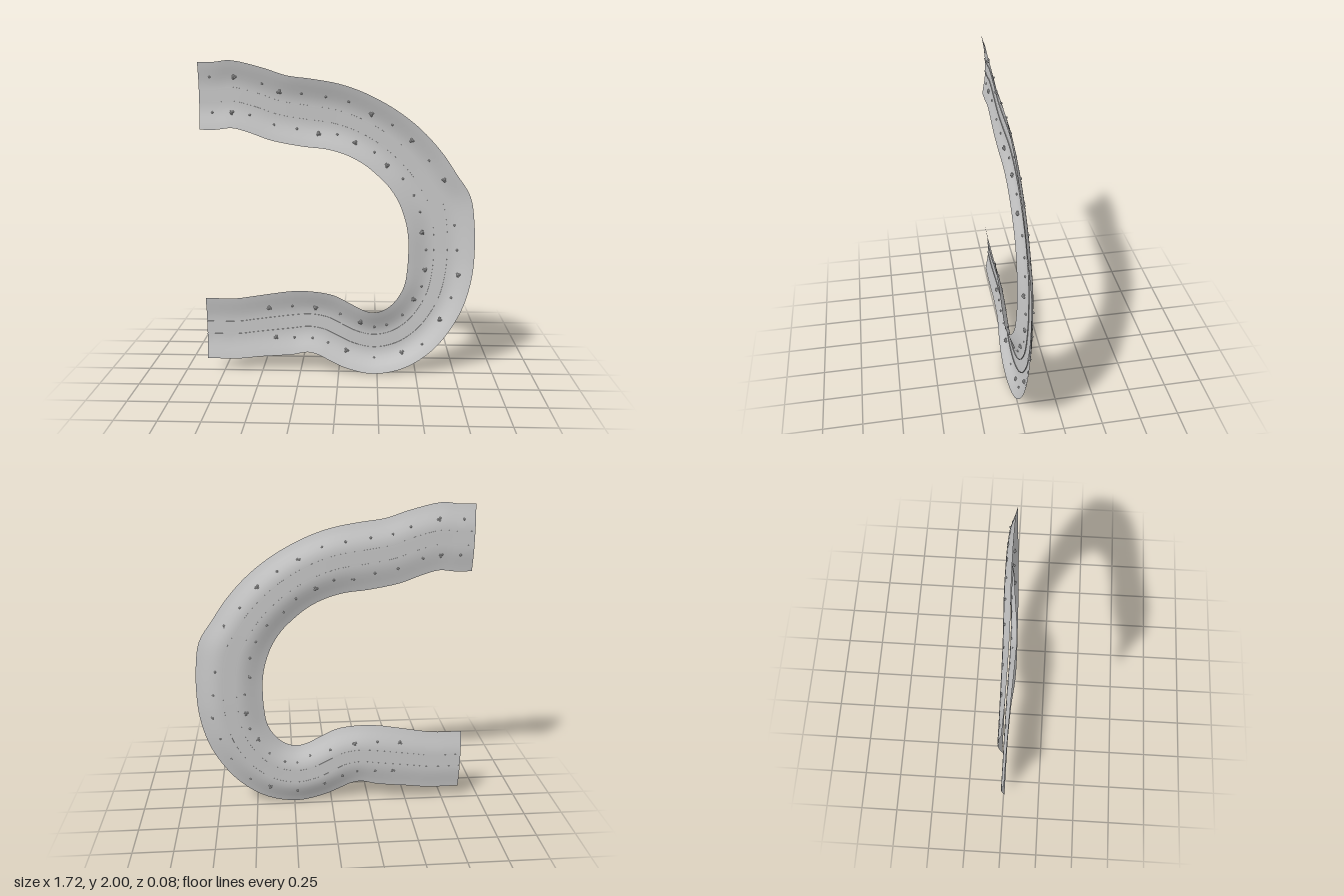
import * as THREE from 'three';
import { mergeGeometries, toCreasedNormals } from 'three/addons/utils/BufferGeometryUtils.js';

// Stations along the valley: edge coordinates, then depth of outer rim, floor and inner rim
const outer = [
  [-0.86, 1.99], [-0.76, 1.99], [-0.66, 2.0], [-0.46, 1.955], [-0.32, 1.91], [-0.17, 1.89],
  [0, 1.86], [0.16, 1.805], [0.34, 1.71], [0.5, 1.59], [0.64, 1.44], [0.73, 1.31],
  [0.82, 1.17], [0.85, 1.0], [0.857, 0.8], [0.845, 0.65], [0.8, 0.47], [0.72, 0.31],
  [0.6, 0.16], [0.43, 0.045], [0.23, 0.003], [0.05, 0.04], [-0.06, 0.09], [-0.13, 0.125],
  [-0.2, 0.14], [-0.3, 0.12], [-0.4, 0.11], [-0.52, 0.1], [-0.65, 0.085], [-0.86, 0.085],
];
const inner = [
  [-0.86, 1.58], [-0.76, 1.58], [-0.66, 1.59], [-0.56, 1.565], [-0.42, 1.515], [-0.22, 1.477],
  [-0.07, 1.46], [0.06, 1.42], [0.16, 1.365], [0.24, 1.3], [0.31, 1.23], [0.37, 1.14],
  [0.41, 1.04], [0.435, 0.93], [0.44, 0.8], [0.435, 0.7], [0.42, 0.6], [0.385, 0.525],
  [0.34, 0.47], [0.29, 0.435], [0.23, 0.42], [0.17, 0.43], [0.08, 0.475], [-0.03, 0.53],
  [-0.17, 0.553], [-0.3, 0.552], [-0.42, 0.535], [-0.56, 0.512], [-0.66, 0.497], [-0.86, 0.497],
];
// Depths at evenly spaced stations: outer rim, floor, inner rim
const depths = [
  [0.008, -0.013, 0.008], [0.016, -0.015, 0.006], [0.015, -0.022, 0.003], [0.004, -0.036, 0],
  [0, -0.041, 0], [0, -0.042, 0], [0, -0.04, 0.002], [0.004, -0.036, 0.004],
  [0.016, -0.028, 0.014], [0.03, -0.018, 0.028], [0.04, -0.012, 0.037], [0.03, -0.012, 0.034],
  [0.016, -0.014, 0.022], [0.008, -0.014, 0.013], [0.008, -0.013, 0.008],
];

const curve = (pts) => new THREE.CatmullRomCurve3(pts.map(([x, y, z = 0]) => new THREE.Vector3(x, y, z)));
const outerCurve = curve(outer), innerCurve = curve(inner), depthCurve = curve(depths);
const STEPS = 116;

// Point at s along the track, t across it (-1 outer edge, 0 centre, 1 inner edge)
function surfacePoint(s, t, lift = 0) {
  const p = outerCurve.getPoint(s).lerp(innerCurve.getPoint(s), (t + 1) / 2);
  const d = depthCurve.getPoint(s);
  const rise = THREE.MathUtils.smoothstep(Math.abs(t), 0.25, 1.15) / 0.96;
  p.z = THREE.MathUtils.lerp(d.y, t < 0 ? d.x : d.z, Math.min(rise, 1)) + lift;
  return p;
}

// Sweep a cross-section of [t, lift] pairs along the track
function ribbon(section) {
  const pos = [], idx = [], n = section.length;
  for (let i = 0; i <= STEPS; i++) {
    for (const [t, lift] of section) pos.push(...surfacePoint(i / STEPS, t, lift).toArray());
  }
  for (let i = 0; i < STEPS; i++) {
    for (let j = 0; j < n - 1; j++) {
      const a = i * n + j, b = a + 1, c = a + n, d = c + 1;
      idx.push(a, b, c, b, d, c);
    }
  }
  const g = new THREE.BufferGeometry();
  g.setAttribute('position', new THREE.Float32BufferAttribute(pos, 3));
  g.setIndex(idx);
  g.computeVertexNormals();
  return g;
}

// Small rocks and larger bushes, by position on the front
const rocks = [
  [-0.79, 1.9], [-0.47, 1.86], [-0.23, 1.8], [-0.08, 1.78], [0.06, 1.75], [0.33, 1.61],
  [0.56, 1.39], [0.73, 0.98], [0.75, 0.82], [0.72, 0.51], [0.54, 0.2], [0.23, 0.1],
  [-0.07, 0.2], [-0.17, 0.23], [-0.29, 0.23], [-0.78, 1.685], [-0.55, 1.67], [-0.4, 1.61],
  [-0.26, 1.585], [-0.01, 1.55], [0.22, 1.44], [0.4, 1.275], [0.47, 1.17], [0.51, 1.065],
  [0.555, 0.82], [0.53, 0.58], [0.41, 0.39], [0.31, 0.325], [0.23, 0.31], [0.01, 0.395], [-0.3, 0.445],
];
const bushes = [
  [-0.64, 1.9], [-0.365, 1.81], [0.2, 1.675], [0.45, 1.515], [0.655, 1.27], [0.76, 0.66],
  [0.65, 0.365], [0.41, 0.14], [0.05, 0.15], [-0.41, 0.23], [-0.66, 1.685], [-0.125, 1.555],
  [0.1, 1.5], [0.3, 1.36], [0.525, 0.935], [0.55, 0.69], [0.48, 0.495], [0.14, 0.345],
  [-0.15, 0.435], [-0.45, 0.43],
];

// Ground depth under a spot, from the nearest sample of the valley
const samples = [];
for (let i = 0; i <= STEPS; i++) {
  for (let t = -1; t <= 1; t += 0.1) samples.push(surfacePoint(i / STEPS, t));
}
function onGround(x, y) {
  let best = samples[0], min = Infinity;
  for (const p of samples) {
    const d = (p.x - x) ** 2 + (p.y - y) ** 2;
    if (d < min) { min = d; best = p; }
  }
  return new THREE.Vector3(x, y, best.z);
}

function createBush(index) {
  const lumps = [];
  for (let k = 0; k < 4; k++) {
    const a = index * 1.3 + k * 2.1, r = k ? 0.009 : 0;
    const lump = new THREE.IcosahedronGeometry(k ? 0.008 : 0.011, 0);
    lump.rotateZ(a);
    lump.translate(r * Math.cos(a), r * Math.sin(a), k ? 0.004 : 0.007);
    lumps.push(lump);
  }
  return mergeGeometries(lumps);
}

export function createModel() {
  const model = new THREE.Group();
  model.name = 'valleyTrack';
  const smooth = new THREE.MeshStandardMaterial({ color: 0xcccccc, side: THREE.DoubleSide });
  const faceted = new THREE.MeshStandardMaterial({ color: 0xcccccc, flatShading: true });
  const add = (name, geometry, material, parent = model) => {
    const mesh = new THREE.Mesh(geometry, material);
    mesh.name = name;
    parent.add(mesh);
    return mesh;
  };

  // Open curved sheet with raised rims on both sides
  const across = [];
  for (let j = 0; j <= 16; j++) across.push([-1 + j / 8, 0]);
  add('valleyGround', ribbon(across), smooth);

  // Low kerbs along both sides of the road
  for (const side of [-1, 1]) {
    const a = side * 0.205 - 0.012, b = side * 0.205 + 0.012;
    const kerb = ribbon([[a, -0.001], [a, 0.004], [b, 0.004], [b, -0.001], [a, -0.001]]);
    add(side < 0 ? 'outerKerb' : 'innerKerb', toCreasedNormals(kerb, 0.6), smooth);
  }

  // Roadside scatter
  const scatter = new THREE.Group();
  scatter.name = 'roadsideScatter';
  model.add(scatter);
  const rockGeometry = new THREE.IcosahedronGeometry(0.008, 0);
  rocks.forEach(([x, y], i) => {
    const rock = add('rock', rockGeometry, faceted, scatter);
    rock.position.copy(onGround(x, y));
    rock.rotation.z = i * 1.7;
  });
  bushes.forEach(([x, y], i) => {
    add('bush', createBush(i), faceted, scatter).position.copy(onGround(x, y));
  });
  return model;
}
